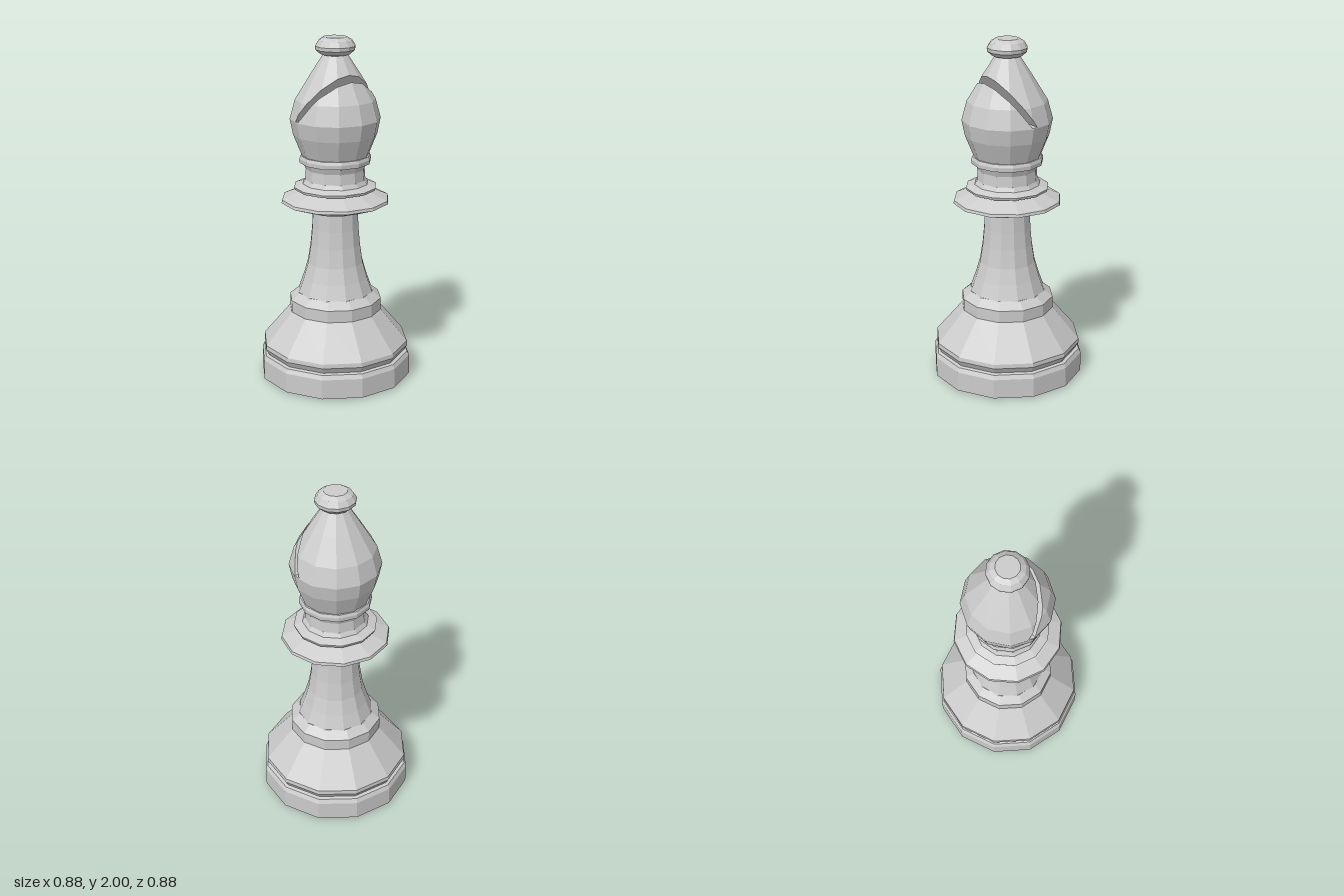
import * as THREE from 'three';

const SIDES = 12;
const deg = THREE.MathUtils.degToRad;

function material(side = THREE.FrontSide) {
  return new THREE.MeshStandardMaterial({ color: 0xcccccc, flatShading: true, side });
}

function latheGeometry(profile) {
  return new THREE.LatheGeometry(profile.map(([r, y]) => new THREE.Vector2(r, y)), SIDES);
}

function turned(name, profile, turn) {
  const mesh = new THREE.Mesh(latheGeometry(profile), material());
  mesh.name = name;
  mesh.rotation.y = deg(turn);
  return mesh;
}

// Keep the part of a polygon where the signed distance is positive
function clip(poly, dist) {
  const kept = [];
  poly.forEach((a, i) => {
    const b = poly[(i + 1) % poly.length];
    const da = dist(a), db = dist(b);
    if (da >= 0) kept.push(a);
    if (da * db < 0) kept.push(a.clone().lerp(b, da / (da - db)));
  });
  return kept;
}

function fan(poly, out) {
  for (let i = 1; i + 1 < poly.length; i++) out.push(poly[0], poly[i], poly[i + 1]);
}

function meshFrom(points, name, side) {
  const geometry = new THREE.BufferGeometry().setFromPoints(points);
  geometry.computeVertexNormals();
  const mesh = new THREE.Mesh(geometry, material(side));
  mesh.name = name;
  return mesh;
}

// Signed distance to a plane along z through two points, positive on the left of a to b
function slopedPlane([ax, ay], [bx, by]) {
  const n = new THREE.Vector2(ay - by, bx - ax).normalize();
  return p => (p.x - ax) * n.x + (p.y - ay) * n.y;
}

// Bulb with a slanted slot cut through it
function slottedHead(profile) {
  const floor = 1.545;
  const planes = [
    slopedPlane([-0.03, floor], [0.13, 1.795]),
    slopedPlane([0.152, 1.76], [0.005, floor]),
    p => floor - p.y,
  ];
  const source = latheGeometry(profile).toNonIndexed().attributes.position;
  const pieces = [];
  for (let i = 0; i < source.count; i += 3) {
    let rest = [0, 1, 2].map(k => new THREE.Vector3().fromBufferAttribute(source, i + k));
    for (const plane of planes) {
      pieces.push(clip(rest, plane));
      rest = clip(rest, p => -plane(p));
    }
  }
  const skin = [], walls = [];
  pieces.forEach(piece => fan(piece, skin));

  // Each slot face is the convex outline of the cut points lying on its plane
  const eps = 1e-5;
  for (const plane of planes) {
    const rim = pieces.flat().filter(p =>
      Math.abs(plane(p)) < eps && planes.every(other => other(p) < eps));
    if (rim.length < 3) continue;
    const centre = rim.reduce((s, p) => s.add(p), new THREE.Vector3()).divideScalar(rim.length);
    const flat = plane === planes[2];
    const angle = p => Math.atan2(p.z - centre.z, flat ? p.x - centre.x : p.y - centre.y);
    rim.sort((a, b) => angle(a) - angle(b));
    fan(rim, walls);
  }
  const group = new THREE.Group();
  group.name = 'head';
  group.add(meshFrom(skin, 'headBulb', THREE.FrontSide));
  group.add(meshFrom(walls, 'slotWalls', THREE.DoubleSide));
  return group;
}

export function createModel() {
  const model = new THREE.Group();
  model.name = 'chessPiece';

  // Wide foot with a groove, a cone and a stepped band
  model.add(turned('base', [
    [0, 0], [0.15, 0.005], [0.443, 0.01], [0.443, 0.125], [0.43, 0.15], [0.41, 0.155],
    [0.43, 0.19], [0.428, 0.215], [0.27, 0.405], [0.27, 0.475], [0.22, 0.515], [0, 0.515],
  ], 7));

  // Tapering column
  model.add(turned('stem', [
    [0.222, 0.51], [0.19, 0.6], [0.164, 0.69], [0.147, 0.8], [0.138, 0.9], [0.132, 1.02],
  ], 3));

  // Broad collar with a smaller ring above it
  model.add(turned('collar', [
    [0, 1], [0.13, 1.0], [0.2, 1.018], [0.314, 1.06], [0.31, 1.077], [0.2, 1.125],
    [0.235, 1.133], [0.24, 1.148], [0.19, 1.165], [0.175, 1.19],
  ], -1));

  // Neck and the ring under the head
  model.add(turned('neck', [
    [0.175, 1.185], [0.17, 1.25], [0.182, 1.282], [0.205, 1.288], [0.207, 1.312],
    [0.2, 1.33], [0, 1.33],
  ], -4));

  const head = slottedHead([
    [0.19, 1.325], [0.24, 1.45], [0.258, 1.54], [0.228, 1.65], [0.142, 1.79], [0.065, 1.91],
  ]);
  head.rotation.y = deg(-8.6);
  model.add(head);

  // Small knob on top
  model.add(turned('finial', [
    [0.06, 1.898], [0.085, 1.905], [0.113, 1.93], [0.115, 1.95], [0.095, 1.982],
    [0.066, 2], [0, 2],
  ], -2));

  return model;
}
